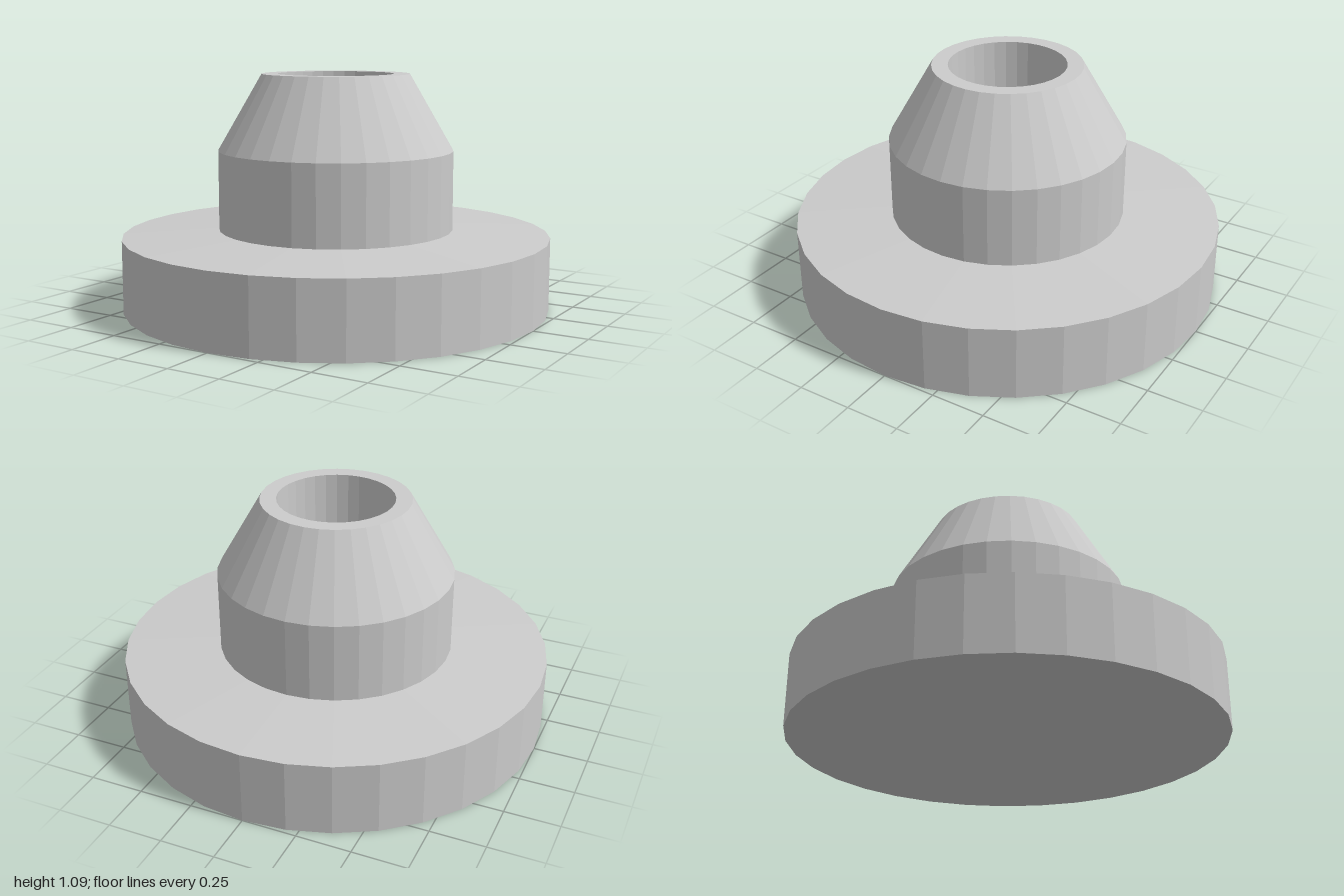
import * as THREE from 'three';

const SIDES = 32;

// Faceted solid of revolution from [radius, height] pairs
function turned(name, profile, material) {
  const points = profile.map(([r, y]) => new THREE.Vector2(r, y));
  const mesh = new THREE.Mesh(new THREE.LatheGeometry(points, SIDES), material);
  mesh.name = name;
  return mesh;
}

export function createModel() {
  const group = new THREE.Group();
  group.name = 'flangedNozzle';
  const material = new THREE.MeshStandardMaterial({ color: 0xcccccc, flatShading: true });

  // Wide disc with a closed underside and a slightly sloped top
  group.add(turned('baseFlange', [[0, 0], [1, 0], [1, 0.34], [0.55, 0.365]], material));

  // Straight collar, tapered neck and flat rim
  group.add(turned('collarAndNeck', [[0.55, 0.365], [0.55, 0.735], [0.345, 1.09], [0.27, 1.09]], material));

  // Blind bore down the middle
  group.add(turned('bore', [[0.27, 1.09], [0.27, 0.365], [0, 0.365]], material));

  return group;
}
